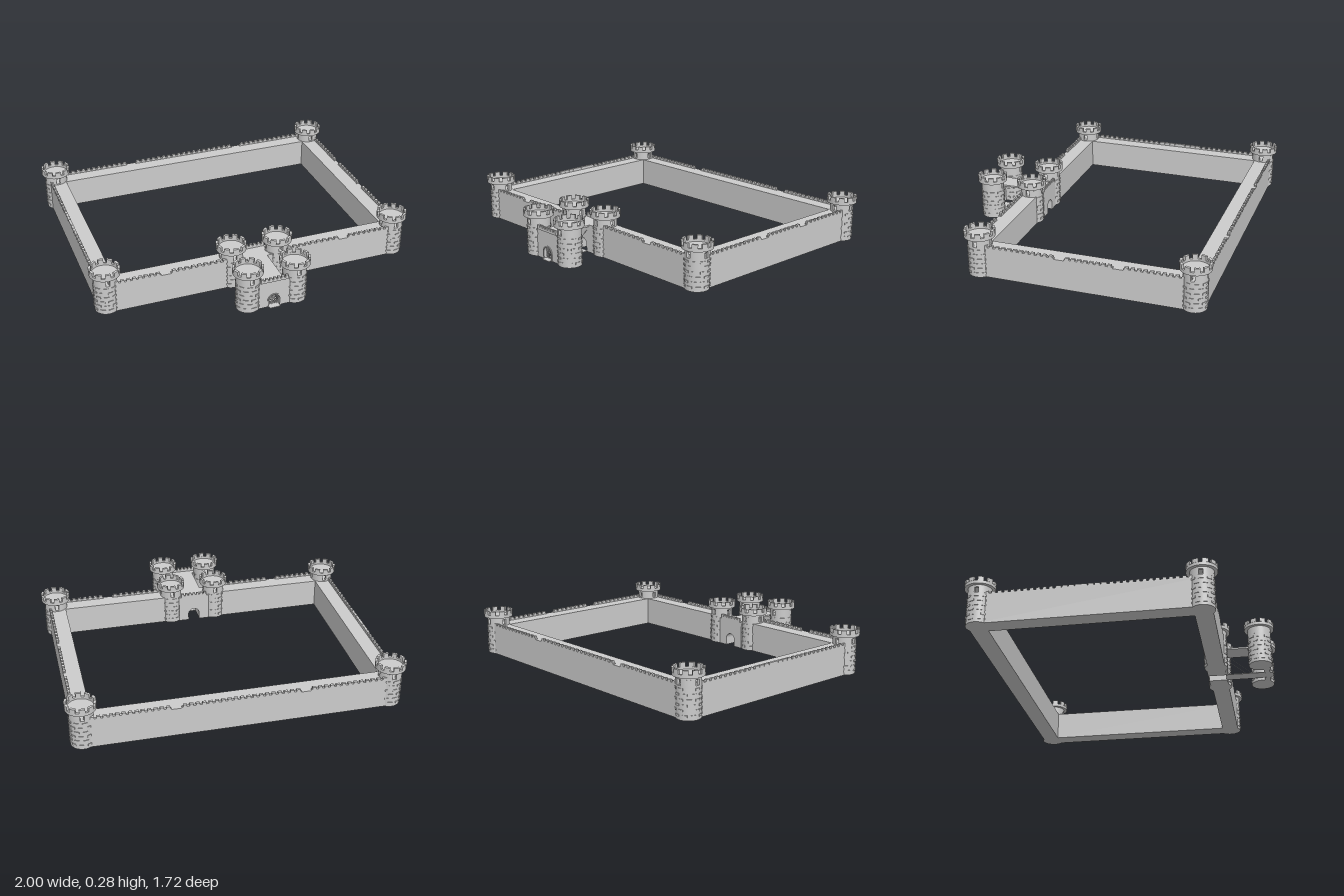
import * as THREE from 'three';
import { mergeGeometries } from 'three/addons/utils/BufferGeometryUtils.js';

const material = new THREE.MeshStandardMaterial({ color: 0xcccccc });

function add(parent, name, geometry) {
  const mesh = new THREE.Mesh(geometry, material);
  mesh.name = name;
  parent.add(mesh);
  return mesh;
}

// Box given by its limits
function box(x0, x1, y0, y1, z0, z1) {
  return new THREE.BoxGeometry(x1 - x0, y1 - y0, z1 - z0)
    .translate((x0 + x1) / 2, (y0 + y1) / 2, (z0 + z1) / 2);
}

// Piece of an upright ring between two angles
function sector(rIn, rOut, a0, a1, y0, y1, segs = 4) {
  const s = new THREE.Shape();
  s.absarc(0, 0, rOut, a0, a1, false);
  s.absarc(0, 0, rIn, a1, a0, true);
  s.closePath();
  return new THREE.ExtrudeGeometry(s, { depth: y1 - y0, bevelEnabled: false, curveSegments: segs })
    .rotateX(-Math.PI / 2).translate(0, y0, 0);
}

// Evenly spaced ring pieces; fill is the solid share of each step
function ringPieces(rIn, rOut, n, fill, y0, y1, offset = 0, segs = 4) {
  const step = Math.PI * 2 / n;
  return Array.from({ length: n }, (_, i) => {
    const mid = offset + i * step;
    return sector(rIn, rOut, mid - step * fill / 2, mid + step * fill / 2, y0, y1, segs);
  });
}

function ring(rIn, rOut, y0, y1) {
  const p = [[rIn, y0], [rOut, y0], [rOut, y0], [rOut, y1], [rOut, y1], [rIn, y1], [rIn, y1], [rIn, y0]];
  return new THREE.LatheGeometry(p.map(([x, y]) => new THREE.Vector2(x, y)), 40);
}

function makeTower(name, x, z, windows) {
  const tower = new THREE.Group();
  tower.name = name;
  tower.position.set(x, 0, z);
  add(tower, 'shaft', new THREE.CylinderGeometry(0.07, 0.07, 0.188, 40).translate(0, 0.094, 0));

  // Window storey: ring pieces leave narrow openings between them
  const offset = windows === 4 ? Math.PI / 4 : 0;
  add(tower, 'windowStorey', mergeGeometries(
    ringPieces(0.056, 0.07, windows, 1 - 0.055 * windows, 0.188, 0.222, offset, 14)));
  add(tower, 'lintelRing', ring(0.056, 0.07, 0.222, 0.236));
  add(tower, 'floor', new THREE.CylinderGeometry(0.086, 0.086, 0.006, 40).translate(0, 0.238, 0));

  // Battlement crown
  add(tower, 'parapet', ring(0.076, 0.09, 0.235, 0.254));
  add(tower, 'merlons', mergeGeometries(
    ringPieces(0.076, 0.091, 10, 0.62, 0.254, 0.278, Math.PI / 10)));

  // Staggered courses of raised stones
  const stones = [];
  for (let row = 0; row < 6; row++) {
    const y = 0.018 + row * 0.029;
    stones.push(...ringPieces(0.068, 0.0735, 9, 0.6, y, y + 0.012, row % 2 ? Math.PI / 9 : 0, 3));
  }
  add(tower, 'raisedStones', mergeGeometries(stones));
  return tower;
}

// Wall along local x, outer face towards local +z at depth 0
function makeWall(name, length, gaps) {
  const wall = new THREE.Group();
  wall.name = name;
  const h = length / 2;
  add(wall, 'wallBody', box(-h, h, 0, 0.18, -0.105, 0));

  // Low parapet interrupted at the gaps
  const edges = [-h, ...gaps.flatMap(g => [g - 0.03, g + 0.03]), h];
  const parts = [];
  for (let i = 0; i < edges.length; i += 2) {
    parts.push(box(edges[i], edges[i + 1], 0.18, 0.187, -0.016, 0));
    const run = edges[i + 1] - edges[i];
    const n = Math.max(1, Math.round(run / 0.037));
    for (let k = 0; k < n; k++) {
      const x = edges[i] + (k + 0.5) * run / n;
      parts.push(box(x - 0.011, x + 0.011, 0.187, 0.199, -0.016, 0));
    }
  }
  add(wall, 'battlements', mergeGeometries(parts));
  return wall;
}

function archPath(path, w, spring) {
  path.moveTo(-w, 0);
  path.lineTo(-w, spring);
  path.absarc(0, spring, w, Math.PI, 0, true);
  path.lineTo(w, 0);
  return path;
}

// Wall with an arched passage through it
function archWall(halfWidth, height, z0, z1) {
  const s = new THREE.Shape();
  s.moveTo(-halfWidth, 0);
  s.lineTo(-0.036, 0);
  s.lineTo(-0.036, 0.044);
  s.absarc(0, 0.044, 0.036, Math.PI, 0, true);
  s.lineTo(0.036, 0);
  s.lineTo(halfWidth, 0);
  s.lineTo(halfWidth, height);
  s.lineTo(-halfWidth, height);
  s.closePath();
  return new THREE.ExtrudeGeometry(s, { depth: z1 - z0, bevelEnabled: false, curveSegments: 16 })
    .translate(0, 0, z0);
}

function gateMerlons(z0, z1) {
  const parts = [box(-0.085, 0.085, 0.172, 0.186, z0, z1)];
  for (let i = -3; i <= 3; i++) {
    parts.push(box(i * 0.025 - 0.008, i * 0.025 + 0.008, 0.186, 0.199, z0, z1));
  }
  return mergeGeometries(parts);
}

export function createModel() {
  const castle = new THREE.Group();
  castle.name = 'castle';

  // Towers in mirrored pairs
  for (const [side, s] of [['left', 1], ['right', -1]]) {
    castle.add(makeTower(side + 'BackTower', s * 0.91, -0.77, 4));
    castle.add(makeTower(side + 'FrontTower', s * 0.91, 0.5, 4));
    castle.add(makeTower(side + 'GateTower', s * 0.145, 0.5, 4));
    const outer = makeTower(side + 'BarbicanTower', s * 0.145, 0.77, 2);
    castle.add(outer);

    const front = makeWall(side + 'FrontWall', 0.765, [s * 0.035]);
    front.position.set(s * 0.5275, 0, 0.555);
    castle.add(front);

    const flank = makeWall(side + 'SideWall', 1.27, [s * 0.135, s * -0.21].map(v => -v));
    flank.rotation.y = s * Math.PI / 2;
    flank.position.set(s * 0.958, 0, -0.135);
    castle.add(flank);
  }
  const back = makeWall('backWall', 1.82, [-0.38, 0.38]);
  back.rotation.y = Math.PI;
  back.position.z = -0.828;
  castle.add(back);

  // Gatehouse and barbican
  add(castle, 'gatehouse', archWall(0.1, 0.172, 0.44, 0.555));
  add(castle, 'gatehouseBattlements', gateMerlons(0.438, 0.45));
  add(castle, 'barbicanFront', archWall(0.1, 0.172, 0.785, 0.82));
  add(castle, 'barbicanBattlements', gateMerlons(0.812, 0.826));
  add(castle, 'upperWalkway', box(-0.063, 0.063, 0.162, 0.172, 0.5, 0.8));

  // Portcullis grid, clipped to the arch
  const bars = [];
  for (let i = -3; i <= 3; i++) {
    const x = i * 0.01;
    const top = 0.044 + Math.sqrt(0.036 ** 2 - x * x);
    bars.push(box(x - 0.0015, x + 0.0015, 0.004, top, 0.801, 0.804));
  }
  for (let y = 0.012; y < 0.076; y += 0.011) {
    const w = y < 0.044 ? 0.036 : Math.sqrt(0.036 ** 2 - (y - 0.044) ** 2);
    bars.push(box(-w, w, y - 0.0015, y + 0.0015, 0.8, 0.803));
  }
  add(castle, 'portcullis', mergeGeometries(bars));

  // Arch surround
  const surround = archPath(new THREE.Shape(), 0.042, 0.044);
  surround.closePath();
  surround.holes.push(archPath(new THREE.Path(), 0.035, 0.044));
  add(castle, 'archSurround', new THREE.ExtrudeGeometry(surround,
    { depth: 0.008, bevelEnabled: false, curveSegments: 16 }).translate(0, 0, 0.817));

  // Drawbridge, sill and chains
  add(castle, 'drawbridge', box(-0.04, 0.04, 0, 0.004, 0.55, 0.79));
  add(castle, 'sill', box(-0.033, 0.033, 0, 0.004, 0.785, 0.84));
  for (const s of [1, -1]) {
    const path = new THREE.LineCurve3(
      new THREE.Vector3(s * 0.038, 0.135, 0.553), new THREE.Vector3(s * 0.038, 0.004, 0.71));
    add(castle, 'drawbridgeChain', new THREE.TubeGeometry(path, 1, 0.0012, 6));
  }
  return castle;
}
